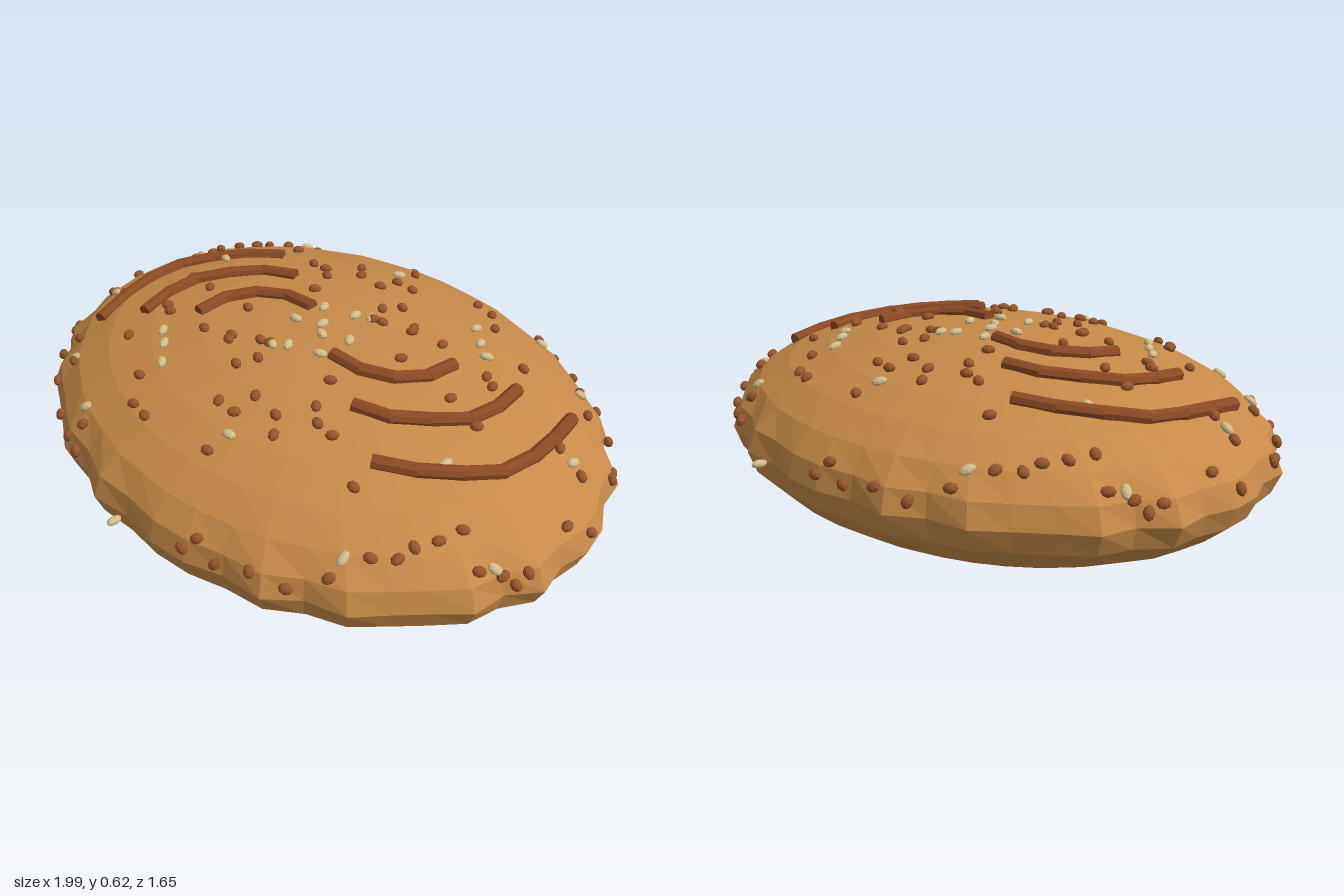
import * as THREE from 'three';

const RX = 0.983, RY = 0.298, RZ = 0.772, CY = 0.302;

const mat = (name, color) => {
  const m = new THREE.MeshStandardMaterial({ color, flatShading: true });
  m.name = name;
  return m;
};

// Height of the loaf's upper surface above (x, z)
const topY = (x, z) =>
  CY + RY * Math.sqrt(Math.max(0, 1 - (x / RX) ** 2 - (z / RZ) ** 2));

// A band of the loaf: a squashed sphere whose rim is gently crimped
function loafBand(name, firstRing, rings, material) {
  const step = Math.PI / 14;
  const g = new THREE.SphereGeometry(1, 48, rings, 0, Math.PI * 2, firstRing * step, rings * step);
  const p = g.attributes.position;
  for (let i = 0; i < p.count; i++) {
    const x = p.getX(i), y = p.getY(i), z = p.getZ(i);
    const a = Math.atan2(z, x), rim = Math.max(0, 1 - y * y) ** 8;
    const k = 1 + 0.022 * rim * Math.cos(20 * (a - 0.118));
    p.setXYZ(i, x * RX * k, CY + y * RY, z * RZ * k);
  }
  g.computeVertexNormals();
  const mesh = new THREE.Mesh(g, material);
  mesh.name = name;
  return mesh;
}

// A raised curved strand made of short round pieces lying on the crust
function strand(points, pieces, material) {
  const group = new THREE.Group();
  group.name = 'crustStrand';
  const curve = new THREE.CatmullRomCurve3(
    points.map(([x, z]) => new THREE.Vector3(x, topY(x, z) + 0.004, z)));
  const pts = curve.getSpacedPoints(pieces);
  const up = new THREE.Vector3(0, 1, 0);
  for (let i = 0; i < pieces; i++) {
    const d = pts[i + 1].clone().sub(pts[i]);
    const piece = new THREE.Mesh(
      new THREE.CylinderGeometry(0.022, 0.022, d.length() + 0.008, 8), material);
    piece.name = 'strandPiece';
    piece.position.copy(pts[i]).addScaledVector(d, 0.5);
    piece.quaternion.setFromUnitVectors(up, d.normalize());
    group.add(piece);
  }
  return group;
}

// Small repeatable number source for the seeds' turn
let state = 7;
const rand = () => (state = (state * 16807) % 2147483647) / 2147483647;

const grainShape = new THREE.SphereGeometry(1, 8, 6);

// A seed lying flat on the crust, turned about the surface normal
function seed(name, x, z, size, material) {
  const r = Math.hypot(x / RX, z / RZ);
  if (r > 0.99) { x *= 0.99 / r; z *= 0.99 / r; }
  const y = topY(x, z);
  const n = new THREE.Vector3(x / RX ** 2, (y - CY) / RY ** 2, z / RZ ** 2).normalize();
  const mesh = new THREE.Mesh(grainShape, material);
  mesh.name = name;
  mesh.position.set(x, y, z).addScaledVector(n, 0.005);
  mesh.scale.set(...size);
  mesh.quaternion.setFromUnitVectors(new THREE.Vector3(0, 1, 0), n)
    .multiply(new THREE.Quaternion().setFromAxisAngle(new THREE.Vector3(0, 1, 0), rand() * Math.PI));
  return mesh;
}

// Positions (x, z) on one half; the other half is the same turned by 180 degrees
const STRANDS = [
  [[-0.5, -0.27], [-0.57, -0.23], [-0.64, -0.14], [-0.72, -0.06], [-0.748, 0.08], [-0.737, 0.2], [-0.695, 0.36]],
  [[-0.32, -0.17], [-0.4, -0.14], [-0.49, -0.05], [-0.555, 0.04], [-0.57, 0.15], [-0.545, 0.28]],
  [[-0.12, -0.065], [-0.2, -0.06], [-0.28, -0.03], [-0.345, 0.04], [-0.375, 0.12], [-0.37, 0.19]],
];
const PALE = [
  [0.36, -0.64], [0.61, -0.52], [-0.63, -0.5], [-0.14, -0.48], [0.26, -0.42], [0.33, -0.36],
  [0.39, -0.32], [-0.63, -0.12], [0.81, -0.22], [-0.9, -0.21], [0.05, -0.16], [-0.09, -0.09],
  [0.01, -0.13], [-0.02, -0.02], [0.1, -0.02],
];
const BROWN = [
  [-0.25, -0.75], [-0.37, -0.74], [-0.45, -0.67], [-0.28, -0.71], [0.3, -0.74], [0.39, -0.74],
  [0.32, -0.68], [0.49, -0.68], [0.7, -0.63], [0.13, -0.58], [0.2, -0.57], [0.6, -0.53],
  [-0.13, -0.55], [-0.63, -0.55], [0.78, -0.5], [0.69, -0.45], [0.28, -0.49], [-0.09, -0.42],
  [-0.24, -0.4], [-0.68, -0.45], [-0.73, -0.4], [0.86, -0.38], [0.89, -0.36], [-0.19, -0.35],
  [0.06, -0.29], [0.03, -0.23], [0.17, -0.23], [0.28, -0.24], [-0.25, -0.25], [-0.36, -0.29],
  [-0.52, -0.36], [-0.88, -0.25], [-0.97, -0.18], [0.97, -0.13], [0.06, -0.16], [-0.2, -0.15],
  [0.47, -0.07], [0.59, -0.05], [0.48, -0.39], [0.5, -0.22], [0.76, -0.22], [-0.79, -0.22],
  [-0.77, -0.29], [-0.74, -0.35], [-0.56, -0.64], [-0.92, -0.2], [-0.95, -0.13], [-0.3, -0.29],
  [-0.02, -0.42], [0.09, -0.17], [0.18, -0.21], [0.26, -0.08], [0.46, -0.24], [0.85, -0.21],
  [0.93, -0.05], [-0.09, -0.34], [-0.18, -0.06],
];

export function createModel() {
  const crust = mat('golden crust', 0xc68a48);
  const base = mat('dark base', 0x7b482b);
  const strandMat = mat('baked strand', 0x8b4a24);
  const brown = mat('brown seed', 0x95552c);
  const pale = mat('pale seed', 0xd2bc8a);

  const model = new THREE.Group();
  model.name = 'seededLoaf';
  model.add(loafBand('crust', 0, 10, crust), loafBand('base', 10, 4, base));

  // Decoration of one half, repeated half a turn round
  for (const turn of [0, Math.PI]) {
    const half = new THREE.Group();
    half.name = 'topping';
    half.rotation.y = turn;
    STRANDS.forEach((s, i) => half.add(strand(s, 6 - i, strandMat)));
    BROWN.forEach(([x, z]) => half.add(seed('brownSeed', x, z, [0.021, 0.014, 0.016], brown)));
    PALE.forEach(([x, z]) => half.add(seed('paleSeed', x, z, [0.024, 0.012, 0.015], pale)));
    // Seed standing out from the rim
    const tip = new THREE.Mesh(grainShape, pale);
    tip.name = 'rimSeed';
    tip.position.set(0, 0.31, 0.8);
    tip.scale.set(0.014, 0.012, 0.024);
    half.add(tip);
    model.add(half);
  }
  return model;
}
